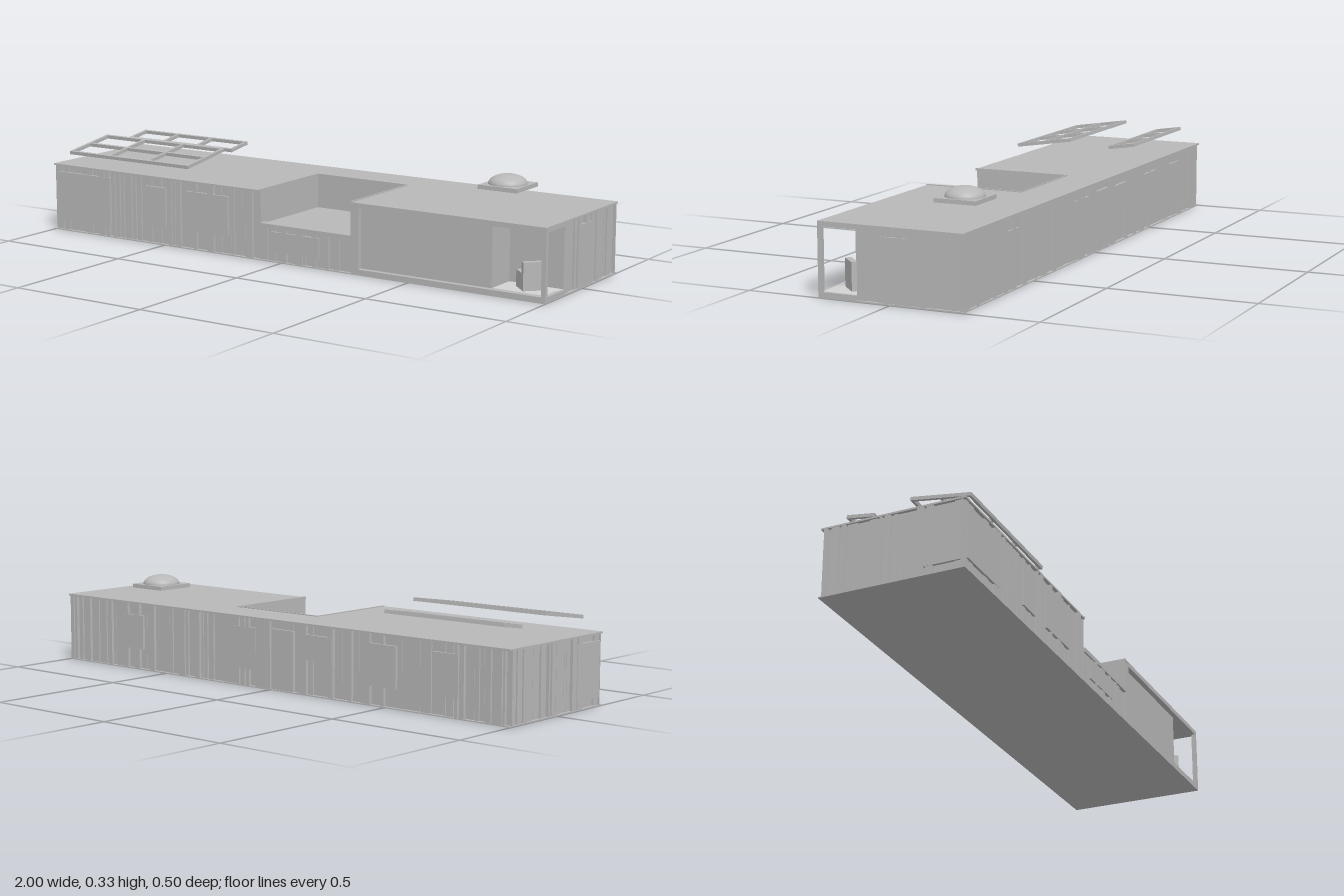
import * as THREE from 'three';

const mat = (name, color) => new THREE.MeshStandardMaterial({ name, color });

export function createModel() {
  const house = new THREE.Group();
  house.name = 'house';
  const grey = mat('grey', 0xb8b8b8);
  const pale = mat('paleFloor', 0xd2d2d2);

  // Box given by its limits on each axis
  function block(name, x0, x1, y0, y1, z0, z1, parent = house, material = grey) {
    const m = new THREE.Mesh(new THREE.BoxGeometry(x1 - x0, y1 - y0, z1 - z0), material);
    m.position.set((x0 + x1) / 2, (y0 + y1) / 2, (z0 + z1) / 2);
    m.name = name;
    parent.add(m);
    return m;
  }

  // Flat outline in x, z, given thickness in y
  function slab(name, points, y0, y1) {
    const shape = new THREE.Shape(points.map(([x, z]) => new THREE.Vector2(x, -z)));
    const g = new THREE.ExtrudeGeometry(shape, { depth: y1 - y0, bevelEnabled: false });
    g.rotateX(-Math.PI / 2);
    const m = new THREE.Mesh(g, grey);
    m.position.y = y0;
    m.name = name;
    house.add(m);
  }

  // Base and roof, the roof notched for the terrace
  block('base', -1, 1, 0, 0.004, -0.25, 0.25);
  slab('roof', [[-1, 0.25], [-0.085, 0.25], [-0.085, -0.1], [0.28, -0.1],
    [0.28, 0.25], [1, 0.25], [1, -0.25], [-1, -0.25]], 0.236, 0.242);

  // Wall cores
  block('leftRooms', -0.988, -0.085, 0.004, 0.236, -0.238, 0.238);
  block('middleRooms', -0.085, 0.28, 0.004, 0.236, -0.238, -0.1);
  block('roomsUnderTerrace', -0.085, 0.28, 0.004, 0.115, -0.1, 0.238);
  block('livingRoom', 0.28, 0.8, 0.004, 0.236, -0.238, 0.225);
  block('rearRooms', 0.8, 0.988, 0.004, 0.236, -0.238, 0.116);

  // Sunken terrace
  block('terraceFloor', -0.085, 0.28, 0.115, 0.125, -0.1, 0.22);
  block('terraceEdge', -0.085, 0.28, 0.115, 0.13, 0.22, 0.25);
  block('terraceRim', -0.09, -0.085, 0.236, 0.245, -0.1, 0.25);
  block('terraceRim', 0.28, 0.285, 0.236, 0.245, -0.1, 0.25);
  block('terraceRim', -0.09, 0.285, 0.236, 0.245, -0.104, -0.1);

  // Corner porch and large glazed front
  block('porchFloor', 0.8, 0.99, 0.004, 0.02, 0.116, 0.24, house, pale);
  block('porchCeiling', 0.8, 0.99, 0.225, 0.236, 0.116, 0.24);
  block('frontSill', 0.31, 1, 0.004, 0.02, 0.225, 0.25);
  block('frontLintel', 0.31, 1, 0.225, 0.236, 0.225, 0.25);
  block('endSill', 0.985, 1, 0.004, 0.02, 0.116, 0.225);
  block('endLintel', 0.985, 1, 0.225, 0.236, 0.116, 0.225);
  block('cornerPost', 0.985, 1, 0.02, 0.225, 0.236, 0.25);
  block('largeWindow', 0.31, 0.8, 0.02, 0.225, 0.225, 0.231);

  // Vertical boards of uneven width and depth
  let seed = 7;
  const rand = () => (seed = (seed * 16807) % 2147483647) / 2147483647;
  const cladding = new THREE.Group();
  cladding.name = 'cladding';
  house.add(cladding);
  function boards(a, b, top, side) {
    let p = a;
    while (p < b - 0.001) {
      let q = Math.min(b, p + 0.007 + 0.022 * rand());
      if (b - q < 0.006) q = b;
      const d = 0.249 - 0.01 * Math.floor(rand() * 3) / 2;
      const e = d + 0.75;
      if (side === 'front') block('board', p, q, 0.004, top, 0.236, d, cladding);
      if (side === 'back') block('board', p, q, 0.004, top, -d, -0.236, cladding);
      if (side === 'right') block('board', 0.986, e, 0.004, top, p, q, cladding);
      if (side === 'left') block('board', -e, -0.986, 0.004, top, p, q, cladding);
      p = q + (rand() < 0.5 ? 0.004 + 0.006 * rand() : 0);
    }
  }
  boards(-1, -0.085, 0.236, 'front');
  boards(-0.085, 0.28, 0.115, 'front');
  block('frontPier', 0.28, 0.31, 0.004, 0.236, 0.22, 0.249);
  boards(-1, 1, 0.236, 'back');
  boards(-0.238, 0.116, 0.236, 'right');
  boards(-0.238, 0.238, 0.236, 'left');

  // Windows and doors
  for (const [x0, x1, y0, y1] of [[-0.98, -0.74, 0.04, 0.215], [-0.58, -0.49, 0.065, 0.205],
    [-0.4, -0.22, 0.065, 0.205], [-0.04, 0.155, 0.035, 0.105]])
    block('frontWindow', x0, x1, y0, y1, 0.241, 0.25);
  for (const [x0, x1, y0, y1] of [[0.61, 0.7, 0.075, 0.195], [0.06, 0.17, 0.06, 0.205],
    [-0.28, -0.15, 0.12, 0.205], [-0.55, -0.43, 0.065, 0.205], [-0.8, -0.7, 0.065, 0.205]])
    block('backWindow', x0, x1, y0, y1, -0.25, -0.241);
  block('backDoor', -0.11, -0.013, 0.005, 0.21, -0.25, -0.241);
  block('endDoor', 0.991, 1, 0.005, 0.21, -0.062, 0.03);
  block('endWindow', -1, -0.991, 0.03, 0.215, 0.11, 0.235);

  // Porch armchair, turned toward the inner corner
  const chair = new THREE.Group();
  chair.name = 'chair';
  block('chairSeat', -0.039, 0.039, 0, 0.055, -0.038, 0.018, chair);
  block('chairBack', -0.039, 0.039, 0, 0.092, 0.018, 0.038, chair);
  chair.position.set(0.902, 0.02, 0.157);
  chair.rotation.y = Math.PI / 4;
  house.add(chair);

  // Open tilted panel frames over the roof
  function panelFrame(x0, x1, z0, z1, yMid, rows) {
    const w = (x1 - x0) / 2, h = (z1 - z0) / 2, t = 0.006, r = 0.005;
    const frame = new THREE.Group();
    frame.name = 'panelFrame';
    for (let i = 0; i <= 3; i++) {
      const x = -w + r + (i * (2 * w - 2 * r)) / 3;
      block('frameBar', x - r, x + r, -t, t, -h, h, frame);
    }
    for (let j = 0; j <= rows; j++) {
      const z = -h + r + (j * (2 * h - 2 * r)) / rows;
      block('frameRail', -w, w, -t, t, z - r, z + r, frame);
    }
    frame.position.set((x0 + x1) / 2, yMid, (z0 + z1) / 2);
    frame.rotation.x = 0.15;
    house.add(frame);
  }
  panelFrame(-0.935, -0.4, 0.024, 0.236, 0.301, 2);
  panelFrame(-0.935, -0.46, -0.199, -0.1, 0.297, 1);

  // Domed skylight
  block('skylightBase', 0.602, 0.748, 0.278, 0.292, -0.166, -0.02);
  const dome = new THREE.Mesh(
    new THREE.SphereGeometry(0.065, 32, 12, 0, Math.PI * 2, 0, Math.PI / 2), grey);
  dome.scale.y = 0.51;
  dome.position.set(0.675, 0.292, -0.093);
  dome.name = 'skylightDome';
  house.add(dome);

  return house;
}
